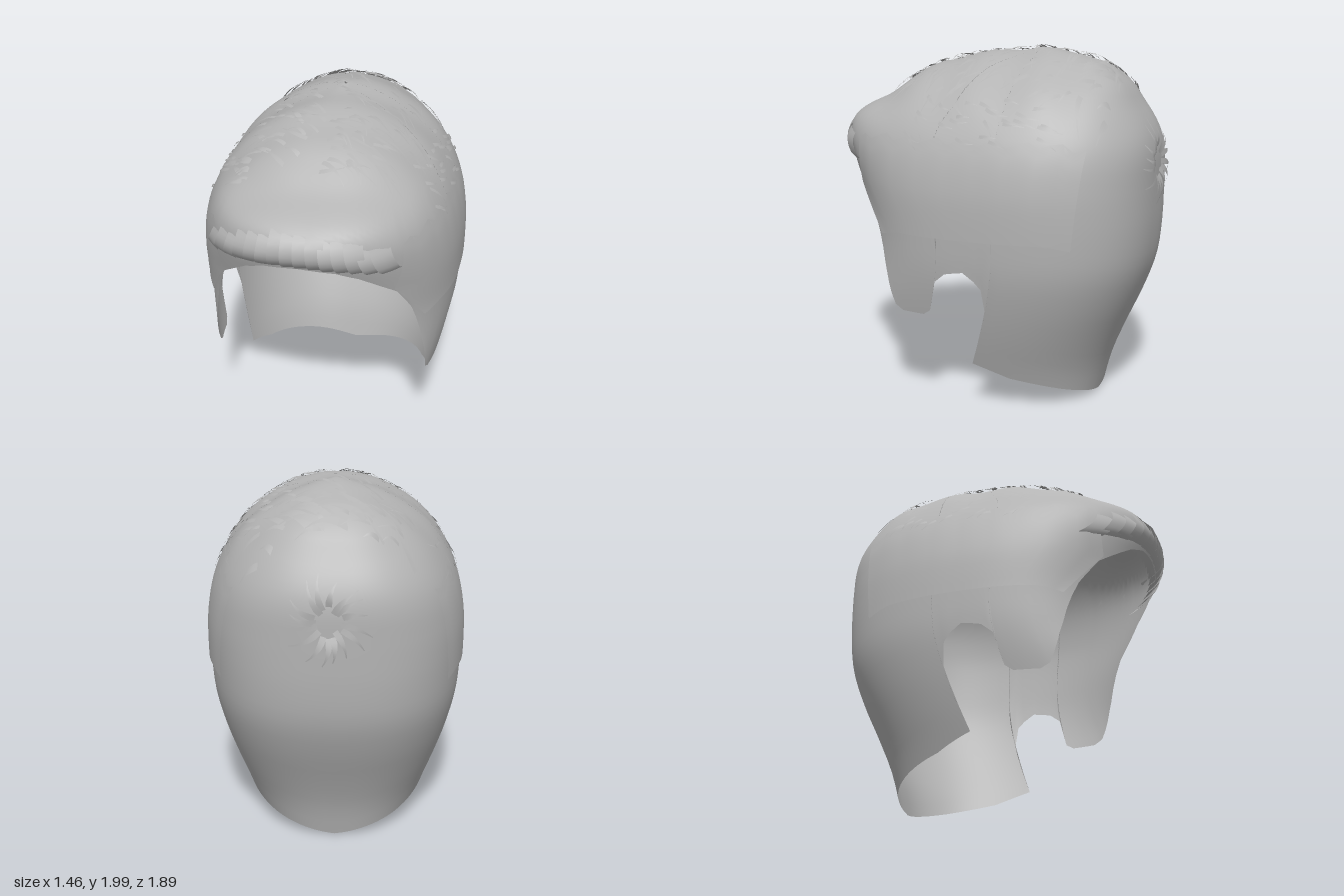
import * as THREE from 'three';
import { mergeGeometries } from 'three/addons/utils/BufferGeometryUtils.js';

const hairGrey = new THREE.MeshStandardMaterial({ color: 0xb4b4b4, side: THREE.DoubleSide });
hairGrey.name = 'hairGrey';

// Head profile by height: y, front z, back z, half width, z of the widest point
const PROFILE = [
  [0.0, 0.95, -0.58, 0.48, 0.16], [0.2, 0.95, -0.63, 0.54, 0.13], [0.4, 0.92, -0.71, 0.605, 0.06],
  [0.6, 0.88, -0.8, 0.66, 0.0], [0.8, 0.79, -0.87, 0.7, -0.04], [1.0, 0.77, -0.895, 0.715, -0.05],
  [1.2, 0.82, -0.9, 0.72, -0.05], [1.3, 0.86, -0.9, 0.712, -0.05], [1.4, 0.9, -0.9, 0.695, -0.05],
  [1.5, 0.925, -0.885, 0.665, -0.05], [1.6, 0.89, -0.845, 0.615, -0.06], [1.7, 0.71, -0.785, 0.545, -0.08],
  [1.8, 0.56, -0.715, 0.44, -0.1], [1.9, 0.36, -0.58, 0.28, -0.14], [1.95, 0.14, -0.45, 0.15, -0.18],
  [1.985, -0.19, -0.21, 0.01, -0.2],
];
const TOP = 1.985, N = 2.5;

// Smooth interpolation of one profile column
function prof(col, y) {
  const P = PROFILE, last = P.length - 1;
  y = Math.min(TOP, Math.max(0, y));
  let i = 0;
  while (i < last - 1 && P[i + 1][0] < y) i++;
  const slope = (a, b) => (P[b][col] - P[a][col]) / (P[b][0] - P[a][0]);
  const h = P[i + 1][0] - P[i][0], t = (y - P[i][0]) / h;
  const m0 = slope(Math.max(0, i - 1), i + 1) * h, m1 = slope(i, Math.min(last, i + 2)) * h;
  return P[i][col] * (1 + 2 * t) * (1 - t) ** 2 + m0 * t * (1 - t) ** 2
    + P[i + 1][col] * t * t * (3 - 2 * t) + m1 * t * t * (t - 1);
}

const reach = (y, front) => prof(front ? 1 : 2, y) - prof(4, y);

// Point on the head at angle a (front = PI/2, side = 0, back = -PI/2)
function surface(a, y, side, grow = 0) {
  const c = Math.max(0, Math.cos(a)) ** (2 / N), s = Math.abs(Math.sin(a)) ** (2 / N);
  const r = reach(y, a > 0);
  return new THREE.Vector3(side * (prof(3, y) + grow) * c, y, prof(4, y) + (r + Math.sign(r) * grow) * s);
}
function angleAt(z, y) {
  const d = z - prof(4, y), u = Math.min(1, Math.abs(d / reach(y, d > 0)));
  return Math.sign(d) * Math.asin(u ** (N / 2));
}

// Surface coordinates solved along each axis
const sideX = (z, y) => prof(3, y) * Math.max(0, 1 - Math.abs((z - prof(4, y)) / reach(y, z > prof(4, y))) ** N) ** (1 / N);
const endZ = (x, y, front) => prof(4, y) + reach(y, front) * Math.max(0, 1 - Math.abs(x / prof(3, y)) ** N) ** (1 / N);
function topY(x, z) {
  let lo = 1.3, hi = TOP;
  for (let i = 0; i < 22; i++) {
    const m = (lo + hi) / 2, d = z - prof(4, m);
    const f = Math.abs(x / prof(3, m)) ** N + Math.abs(d / reach(m, d > 0)) ** N;
    if (f < 1) lo = m; else hi = m;
  }
  return lo;
}

// Surface through rows of points
function sheet(rows, closed = false) {
  const n = rows[0].length, index = [];
  const geo = new THREE.BufferGeometry().setFromPoints(rows.flat());
  const count = closed ? rows.length : rows.length - 1;
  for (let i = 0; i < count; i++) for (let j = 0; j < n - 1; j++) {
    const a = i * n + j, b = ((i + 1) % rows.length) * n + j;
    index.push(a, a + 1, b, b, a + 1, b + 1);
  }
  geo.setIndex(index);
  geo.computeVertexNormals();
  return geo;
}

let seed = 7;
const rand = (a = 0, b = 1) => {
  seed = (seed * 16807) % 2147483647;
  return a + (b - a) * seed / 2147483647;
};

// Tapered curved strand drawn in a flat (p, q) plane and placed by a mapping
function strand(p, q, dir, length, width, bend, place, lift = 0.012) {
  const rows = [], steps = 5;
  for (let i = 0; i <= steps; i++) {
    const t = i / steps, w = width * (0.5 + 0.5 * Math.sin(Math.PI * Math.min(1, t + 0.3))) * (1 - 0.75 * t * t) / 2;
    const h = lift * (0.3 + Math.sin(Math.PI * t) + 0.5 * t);
    rows.push([-w, w].map(k => place(p - Math.sin(dir) * k, q + Math.cos(dir) * k, h)));
    p += Math.cos(dir) * length / steps;
    q += Math.sin(dir) * length / steps;
    dir += bend / steps;
  }
  return sheet(rows);
}
const onTop = (x, z, h) => new THREE.Vector3(x, topY(x, z) + h, z);
const onBack = (x, y, h) => new THREE.Vector3(x, y, endZ(x, y, false) - h);
const onSide = s => (z, y, h) => new THREE.Vector3(s * (sideX(z, y) + h), y, z);

export function createModel() {
  const model = new THREE.Group();
  model.name = 'hair';
  const add = (name, geo) => {
    const mesh = new THREE.Mesh(geo, hairGrey);
    mesh.name = name;
    model.add(mesh);
  };

  // Lower edge (z, y): forehead, temple, sideburn, ear notch, nape
  const edge = [
    [0.9, 1.4], [0.88, 1.385], [0.83, 1.34], [0.78, 1.29], [0.68, 1.2], [0.58, 1.05], [0.5, 0.8], [0.43, 0.57],
    [0.38, 0.54], [0.24, 0.54], [0.195, 0.57], [0.18, 0.62], [0.155, 0.74], [0.08, 0.8], [-0.03, 0.82],
    [-0.13, 0.73], [-0.14, 0.6], [-0.085, 0.42], [-0.02, 0.26], [-0.22, 0.18], [-0.48, 0.1], [-0.58, 0.01],
  ].map(([z, y]) => [angleAt(z, y), y]);
  edge[0][0] = Math.PI / 2;
  edge[edge.length - 1][0] = -Math.PI / 2;
  const columns = [];
  edge.forEach(([a, y], i) => {
    const next = edge[i + 1];
    if (!next) return columns.push([a, y]);
    const k = Math.max(1, Math.ceil(Math.abs(next[0] - a) / 0.06));
    for (let j = 0; j < k; j++) columns.push([a + (next[0] - a) * j / k, y + (next[1] - y) * j / k]);
  });
  const column = ([a, yE], side) => Array.from({ length: 41 }, (_, j) => {
    const y = TOP - (TOP - yE) * (j / 40) ** 1.6;
    const p = surface(a, y, side);
    // soft waves over the top
    const wave = 0.008 * Math.sin(p.z * 17 + p.x * 3) * THREE.MathUtils.smoothstep(y, 1.5, 1.75);
    p.y += wave;
    return p;
  });
  add('hairShell', sheet([
    ...columns.map(c => column(c, -1)),
    ...columns.slice(1, -1).reverse().map(c => column(c, 1)),
  ], true));

  // Overlapping side layers
  for (const side of [-1, 1]) {
    const rows = [];
    for (let i = 0; i <= 24; i++) {
      const t = i / 24, row = [];
      for (let j = 0; j <= 10; j++) {
        const v = j / 10, y = 0.97 + 0.03 * Math.min(1, 5 * t * (1 - t) * 2) + v * (0.52 + 0.02 * Math.sin(i * 2.1));
        const zFront = 0.5 + 0.2 * Math.min(1, v * 2), zBack = -0.6 - 0.06 * v;
        const a = angleAt(zFront + (zBack - zFront) * t, y);
        row.push(surface(a, y, side, 0.012 * (1 - v) + 0.001));
      }
      rows.push(row);
    }
    add(side > 0 ? 'leftSideLayer' : 'rightSideLayer', sheet(rows));
  }

  // Rolled fringe made of shingled locks
  const locks = [];
  for (let i = 0; i < 15; i++) {
    const x0 = -0.5 + i * 0.066, arch = x0 * x0 * 0.5, lean = x0 * 0.16;
    const rows = [];
    for (let j = 0; j <= 8; j++) {
      const t = j / 8, y = 1.6 - arch + (-0.22 + arch * 0.5) * t + 0.012 * Math.sin(i * 2.3) * (1 - t);
      const bulge = 0.03 * Math.sin(Math.PI * t) - 0.008 - 0.03 * Math.max(0, t - 0.8) * 5;
      rows.push([0, 0.5, 1].map(k => {
        const x = x0 + (k - 0.5) * 0.09 + lean * (t - 0.4);
        return new THREE.Vector3(x, y, endZ(x, y, true) + bulge + 0.012 * (1 - k));
      }));
    }
    locks.push(sheet(rows));
  }
  add('fringe', mergeGeometries(locks));

  // Loose strands swept over the top
  const loose = [];
  for (let i = 0; i < 150; i++) {
    const z = rand(-0.72, 0.58), x = rand(-0.46, 0.46) * (z > 0.3 ? 0.9 : 1);
    const out = x < 0 && z > -0.1 ? Math.PI : 0;
    loose.push(strand(x, z, out + rand(-0.1, 0.9), rand(0.08, 0.2), rand(0.015, 0.03), rand(-0.9, 0.9), onTop));
  }
  // Wider locks behind the crown line
  for (let i = 0; i < 14; i++) {
    loose.push(strand(rand(-0.2, 0.15), rand(-0.72, -0.45), rand(0.1, 0.9), rand(0.2, 0.3), 0.045, rand(-0.7, 0.3), onTop, 0.014));
  }
  add('topStrands', mergeGeometries(loose));

  // Fine strands on the upper sides
  const sides = [];
  for (const s of [-1, 1]) for (let i = 0; i < 26; i++) {
    sides.push(strand(rand(-0.45, 0.45), rand(1.5, 1.74), Math.PI + rand(-0.2, 0.9), rand(0.07, 0.14), 0.018, rand(-0.6, 0.6), onSide(s), 0.008));
  }
  add('sideStrands', mergeGeometries(sides));

  // Swirl at the back of the crown
  const swirl = [];
  for (let i = 0; i < 16; i++) {
    const a = i / 16 * Math.PI * 2 + rand(-0.15, 0.15), r = rand(0.05, 0.09);
    swirl.push(strand(0.02 + Math.cos(a) * r, 1.38 + Math.sin(a) * r, a, rand(0.12, 0.19), 0.035, 0.7, onBack, 0.018));
  }
  add('crownSwirl', mergeGeometries(swirl));
  return model;
}
